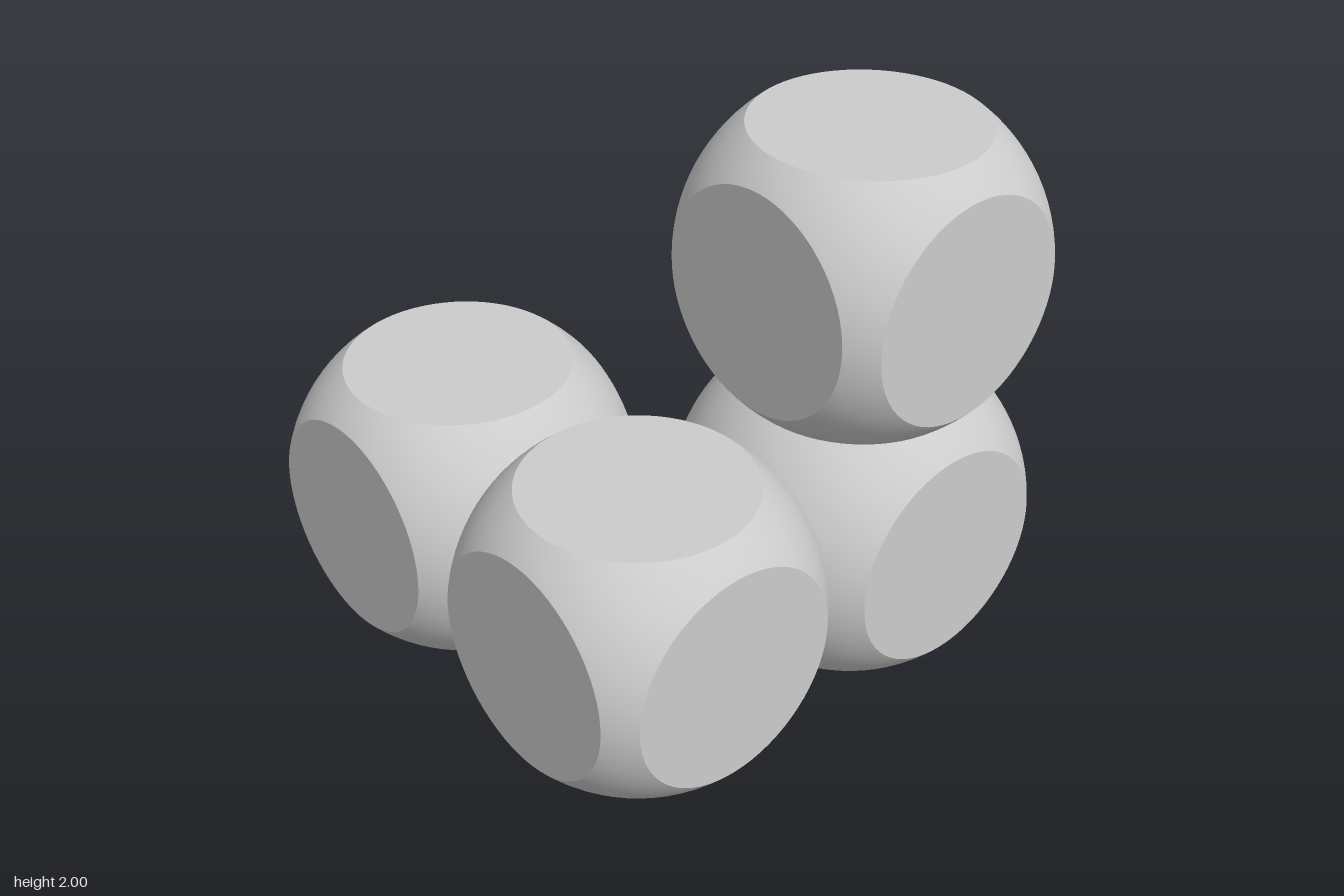
import * as THREE from 'three';
import { mergeGeometries } from 'three/addons/utils/BufferGeometryUtils.js';
import { ParametricGeometry } from 'three/addons/geometries/ParametricGeometry.js';

const HALF = 0.5;       // half the width of a block
const FACE_R = 0.412;   // radius of each flat round face
const BALL_R = Math.hypot(HALF, FACE_R);
const SEGMENTS = 64;    // multiple of 8, so neighbouring patches meet at the corners

// Turn a +z side into all six sides of a block and merge them
function sixSides(side) {
  const sides = [];
  for (let i = 0; i < 4; i++) sides.push(side.clone().rotateY(i * Math.PI / 2));
  for (const s of [-1, 1]) sides.push(side.clone().rotateX(s * Math.PI / 2));
  return mergeGeometries(sides);
}

// Spherical patch from the rim of the flat face out to the borders with the next sides
function roundPatch() {
  const inner = Math.atan(FACE_R / HALF);
  const patch = new ParametricGeometry((u, v, target) => {
    const a = v * Math.PI * 2;
    const outer = Math.atan(1 / Math.max(Math.abs(Math.cos(a)), Math.abs(Math.sin(a))));
    const tilt = inner + (outer - inner) * u;
    target.set(Math.sin(tilt) * Math.cos(a), Math.sin(tilt) * Math.sin(a), Math.cos(tilt));
    target.multiplyScalar(BALL_R);
  }, 6, SEGMENTS);

  // Exact sphere normals keep the patch borders invisible
  const normals = patch.attributes.position.clone();
  patch.setAttribute('normal', normals);
  patch.normalizeNormals();
  return patch;
}

export function createModel() {
  const model = new THREE.Group();
  model.name = 'stackedRoundedBlocks';
  const material = new THREE.MeshStandardMaterial({ color: 0xcccccc });
  const roundBody = sixSides(roundPatch());
  const flatFaces = sixSides(new THREE.CircleGeometry(FACE_R, SEGMENTS).translate(0, 0, HALF));

  // L-shaped base of three blocks with a fourth on the back left one
  const blocks = {
    frontRightBlock: [-0.5, 0.5, 0.5],
    frontLeftBlock: [0.5, 0.5, 0.5],
    backLeftBlock: [0.5, 0.5, -0.5],
    topBlock: [0.5, 1.5, -0.5],
  };
  for (const [name, position] of Object.entries(blocks)) {
    const block = new THREE.Group();
    block.name = name;
    block.position.set(...position);
    for (const [part, geometry] of [['roundBody', roundBody], ['flatFaces', flatFaces]]) {
      const mesh = new THREE.Mesh(geometry, material);
      mesh.name = part;
      block.add(mesh);
    }
    model.add(block);
  }
  return model;
}
